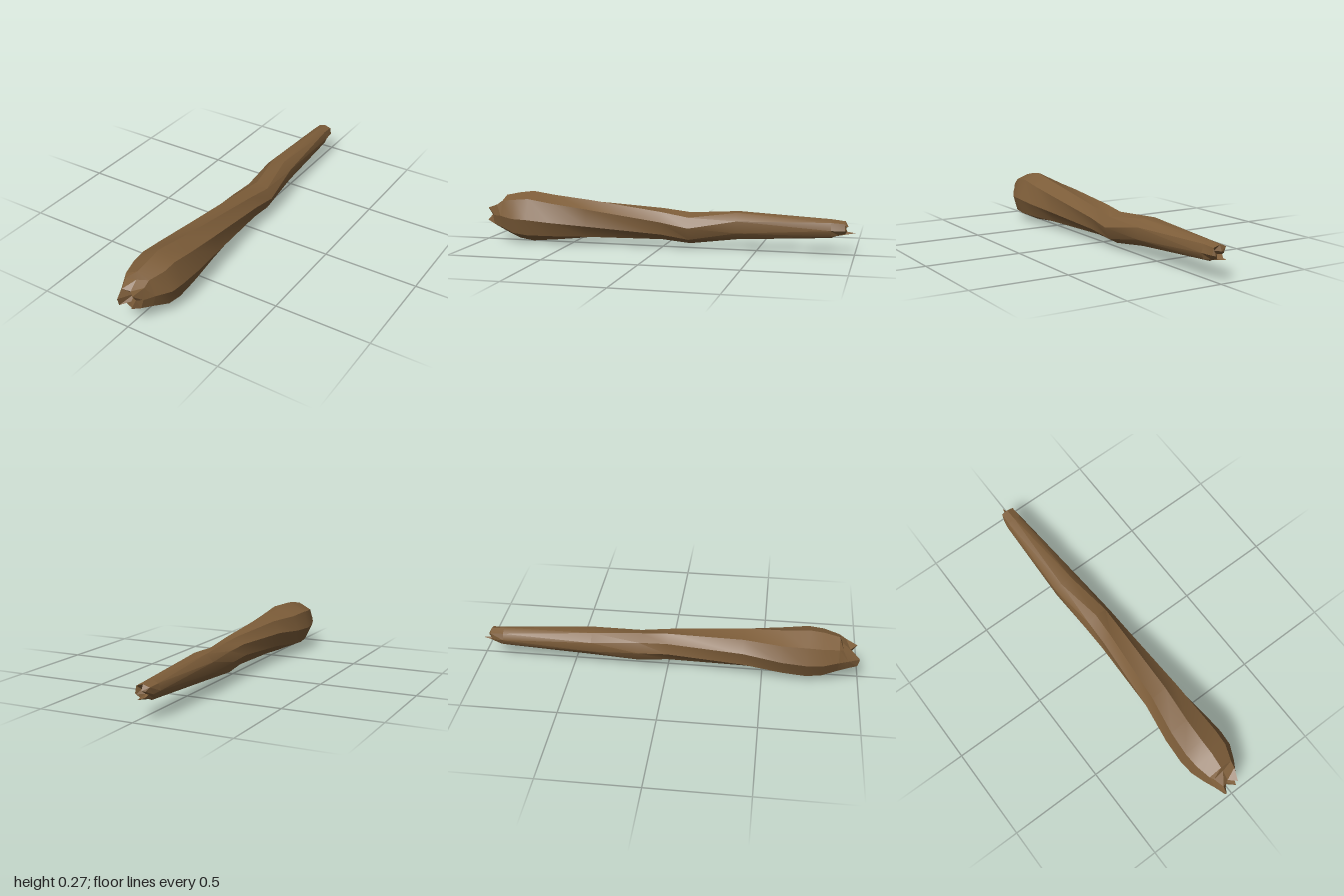
import * as THREE from 'three';
import { toCreasedNormals } from 'three/addons/utils/BufferGeometryUtils.js';

const SIDES = 8;

// Uneven octagon, clockwise from the top ridge when seen from the front
const OUTLINE = [
  [-0.06, 1], [0.66, 0.76], [1, -0.03], [0.81, -0.67],
  [0.06, -1], [-0.68, -0.7], [-1, -0.04], [-0.8, 0.64],
];

// Shaft sections from thick to thin end: z, xMin, xMax, yMin, yMax, twist in degrees
const SECTIONS = [
  [0.89, -0.1, 0.085, 0.045, 0.245, 0],
  [0.81, -0.125, 0.124, 0.012, 0.262, 0],
  [0.73, -0.132, 0.13, 0, 0.272, 0],
  [0.6, -0.125, 0.123, 0.01, 0.255, 4],
  [0.4, -0.097, 0.103, 0.03, 0.238, 14],
  [0, -0.079, 0.082, 0.042, 0.202, 36],
  [-0.15, -0.081, 0.082, 0.025, 0.187, 44],
  [-0.4, -0.092, 0.052, 0.058, 0.196, 26],
  [-0.88, -0.078, 0.022, 0.078, 0.176, 4],
];

function sectionRing([z, x0, x1, y0, y1, twist]) {
  const t = THREE.MathUtils.degToRad(twist);
  const c = Math.cos(t), s = Math.sin(t);
  const turned = OUTLINE.map(([x, y]) => [x * c + y * s, y * c - x * s]);
  // Rescale the turned outline so it fills its section exactly
  const fit = (axis, lo, hi) => {
    const v = turned.map((p) => p[axis]);
    const min = Math.min(...v), max = Math.max(...v);
    return v.map((n) => lo + ((n - min) / (max - min)) * (hi - lo));
  };
  const xs = fit(0, x0, x1), ys = fit(1, y0, y1);
  return xs.map((x, i) => [x, ys[i], z]);
}

// Ragged ring: one radius and one z for each side
function raggedRing(cx, cy, radii, zs) {
  return radii.map((r, i) => {
    const a = (i / SIDES) * Math.PI * 2;
    return [cx + Math.sin(a) * r, cy + Math.cos(a) * r, zs[i]];
  });
}

// Skin rings ordered from front to back; optional centre point closes either end
function loft(rings, frontCentre, backCentre) {
  const points = rings.flat();
  const index = [];
  for (let k = 0; k < rings.length - 1; k++) {
    for (let j = 0; j < SIDES; j++) {
      const a = k * SIDES + j, b = k * SIDES + (j + 1) % SIDES;
      index.push(a, b, b + SIDES, a, b + SIDES, a + SIDES);
    }
  }
  const close = (centre, start, front) => {
    const c = points.push(centre) - 1;
    for (let j = 0; j < SIDES; j++) {
      const a = start + j, b = start + (j + 1) % SIDES;
      index.push(c, front ? b : a, front ? a : b);
    }
  };
  if (frontCentre) close(frontCentre, 0, true);
  if (backCentre) close(backCentre, (rings.length - 1) * SIDES, false);
  const g = new THREE.BufferGeometry();
  g.setAttribute('position', new THREE.Float32BufferAttribute(points.flat(), 3));
  g.setIndex(index);
  return g;
}

export function createModel() {
  const wood = new THREE.MeshStandardMaterial({ color: 0x7d5d39 });
  wood.name = 'brown wood';

  const club = new THREE.Group();
  club.name = 'woodenClub';
  const add = (name, geometry, crease) => {
    const mesh = new THREE.Mesh(toCreasedNormals(geometry, crease), wood);
    mesh.name = name;
    club.add(mesh);
  };

  const shaft = SECTIONS.map(sectionRing);

  // Long twisting shaft: sharp ridges, smooth along its length
  add('shaft', loft(shaft), 0.45);

  // Splintered thick end: a stepped shoulder, a ring of spikes and a hollow core
  add('splinteredHead', loft([
    raggedRing(-0.01, 0.14,
      [0.03, 0.052, 0.036, 0.045, 0.028, 0.058, 0.042, 0.055],
      [0.95, 0.985, 0.96, 0.99, 0.95, 0.99, 1, 0.965]),
    raggedRing(-0.008, 0.14,
      [0.07, 0.082, 0.062, 0.07, 0.06, 0.074, 0.07, 0.085],
      [0.905, 0.925, 0.94, 0.945, 0.955, 0.94, 0.94, 0.91]),
    shaft[0],
  ], [-0.008, 0.142, 0.925]), 0.2);

  // Snapped thin end: uneven spikes around a notch
  const tip = raggedRing(-0.028, 0.122,
    [0.046, 0.05, 0.042, 0.036, 0.034, 0.04, 0.04, 0.05],
    [-0.95, -0.95, -0.95, -0.92, -0.9, -0.9, -0.93, -0.95]);
  const core = raggedRing(-0.028, 0.12,
    [0.02, 0.026, 0.03, 0.022, 0.012, 0.018, 0.022, 0.025],
    [-0.965, -0.93, -0.96, -0.95, -1, -0.96, -0.94, -0.96]);
  add('snappedTip', loft([shaft[shaft.length - 1], tip, core], null, [-0.028, 0.12, -0.93]), 0.2);

  return club;
}
